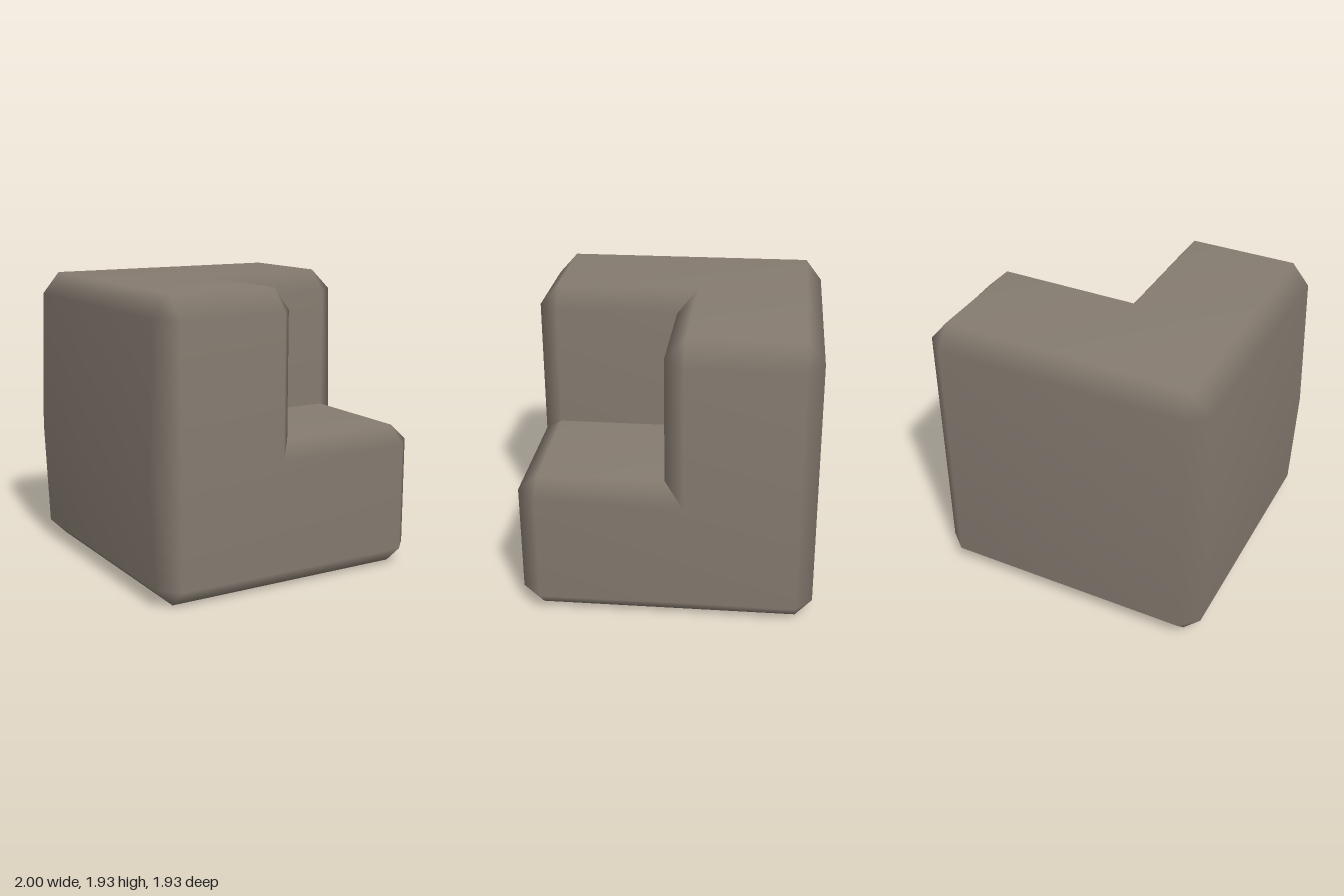
import * as THREE from 'three';

// Position of each grid level along each axis:
// low face, low inset, notch inset, notch face, high inset, high face
const LEVELS = [
  [-0.97, -0.85, -0.12, -0.01, 0.83, 0.955],
  [0, 0.12, 0.85, 0.96, 1.79, 1.935],
  [-0.96, -0.85, -0.12, 0.015, 0.84, 0.97],
];

// Grid levels to a point, with a slight bulge on the two sides
function place([i, j, k]) {
  const p = [LEVELS[0][i], LEVELS[1][j], LEVELS[2][k]];
  if (i === 0 && j === 2) p[0] = -1;
  if (i === 5 && k === 2) p[0] = j === 2 ? 1 : j > 2 ? 0.98 : 0.945;
  return new THREE.Vector3(...p);
}

function blockGeometry() {
  const positions = [], normals = [];
  const centre = new THREE.Vector3(0, 0.97, 0);

  // Adds a polygon whose corners shade with the given face directions;
  // it repeats on all three axes because the block has threefold symmetry
  function polygon(corners, directions, turns = 3) {
    for (let r = 0; r < turns; r++) {
      const turn = (v) => [0, 1, 2].map((a) => v[(a + r) % 3]);
      const pts = corners.map((c) => place(turn(c)));
      const nrm = directions.map((d, i) => new THREE.Vector3(...turn(d))
        .addScaledVector(pts[i].clone().sub(centre), 0.06).normalize());
      for (let t = 1; t < pts.length - 1; t++) {
        let tri = [0, t, t + 1];
        const facing = pts[t].clone().sub(pts[0]).cross(pts[t + 1].clone().sub(pts[0]));
        const outward = nrm.reduce((s, n) => s.add(n), new THREE.Vector3());
        if (facing.dot(outward) < 0) tri = [0, t + 1, t];
        for (const q of tri) {
          positions.push(...pts[q].toArray());
          normals.push(...nrm[q].toArray());
        }
      }
    }
  }

  const X = [1, 0, 0], Y = [0, 1, 0], Z = [0, 0, 1];
  const neg = (v) => v.map((c) => -c);
  const spans = [[1, 2], [2, 4]];

  // Outer faces: full squares on the low sides, L shapes on the high sides
  for (const [a, b] of spans) {
    for (const [c, d] of spans) {
      const panel = (x) => [[x, a, c], [x, b, c], [x, b, d], [x, a, d]];
      polygon(panel(0), Array(4).fill(neg(X)));
      if (a === 1 || c === 1) polygon(panel(5), Array(4).fill(X));
    }
  }

  // Inner faces of the notch
  polygon([[3, 3, 3], [3, 4, 3], [3, 4, 4], [3, 3, 4]], Array(4).fill(X));

  // Bevels along the outer edges
  for (const [y, z] of [[0, 0], [5, 0], [0, 5], [5, 5]]) {
    const yi = y ? 4 : 1, zi = z ? 4 : 1;
    const ny = y ? Y : neg(Y), nz = z ? Z : neg(Z);
    for (const [a, b] of spans) {
      if (y && z && a === 2) continue;
      polygon([[a, y, zi], [b, y, zi], [b, yi, z], [a, yi, z]], [ny, ny, nz, nz]);
    }
  }

  // Bevels around the rim of the notch
  polygon([[2, 5, 2], [4, 5, 2], [4, 4, 3], [3, 4, 3]], [Y, Y, Z, Z]);
  polygon([[2, 2, 5], [4, 2, 5], [4, 3, 4], [3, 3, 4]], [Z, Z, Y, Y]);

  // Corner triangles
  const corner = (x, y, z, turns) => {
    const inset = (l) => (l ? 4 : 1);
    const dir = (l, v) => (l ? v : neg(v));
    polygon([[x, inset(y), inset(z)], [inset(x), y, inset(z)], [inset(x), inset(y), z]],
      [dir(x, X), dir(y, Y), dir(z, Z)], turns);
  };
  corner(0, 0, 0, 1);
  corner(5, 0, 0);
  corner(5, 5, 0);
  polygon([[3, 4, 4], [2, 5, 4], [2, 4, 5]], [X, Y, Z]);

  const geometry = new THREE.BufferGeometry();
  geometry.setAttribute('position', new THREE.Float32BufferAttribute(positions, 3));
  geometry.setAttribute('normal', new THREE.Float32BufferAttribute(normals, 3));
  return geometry;
}

export function createModel() {
  const stone = new THREE.MeshStandardMaterial({ color: 0x857b70 });
  stone.name = 'stone';

  const block = new THREE.Mesh(blockGeometry(), stone);
  block.name = 'notchedBlock';

  const model = new THREE.Group();
  model.name = 'stoneBlock';
  model.add(block);
  return model;
}
